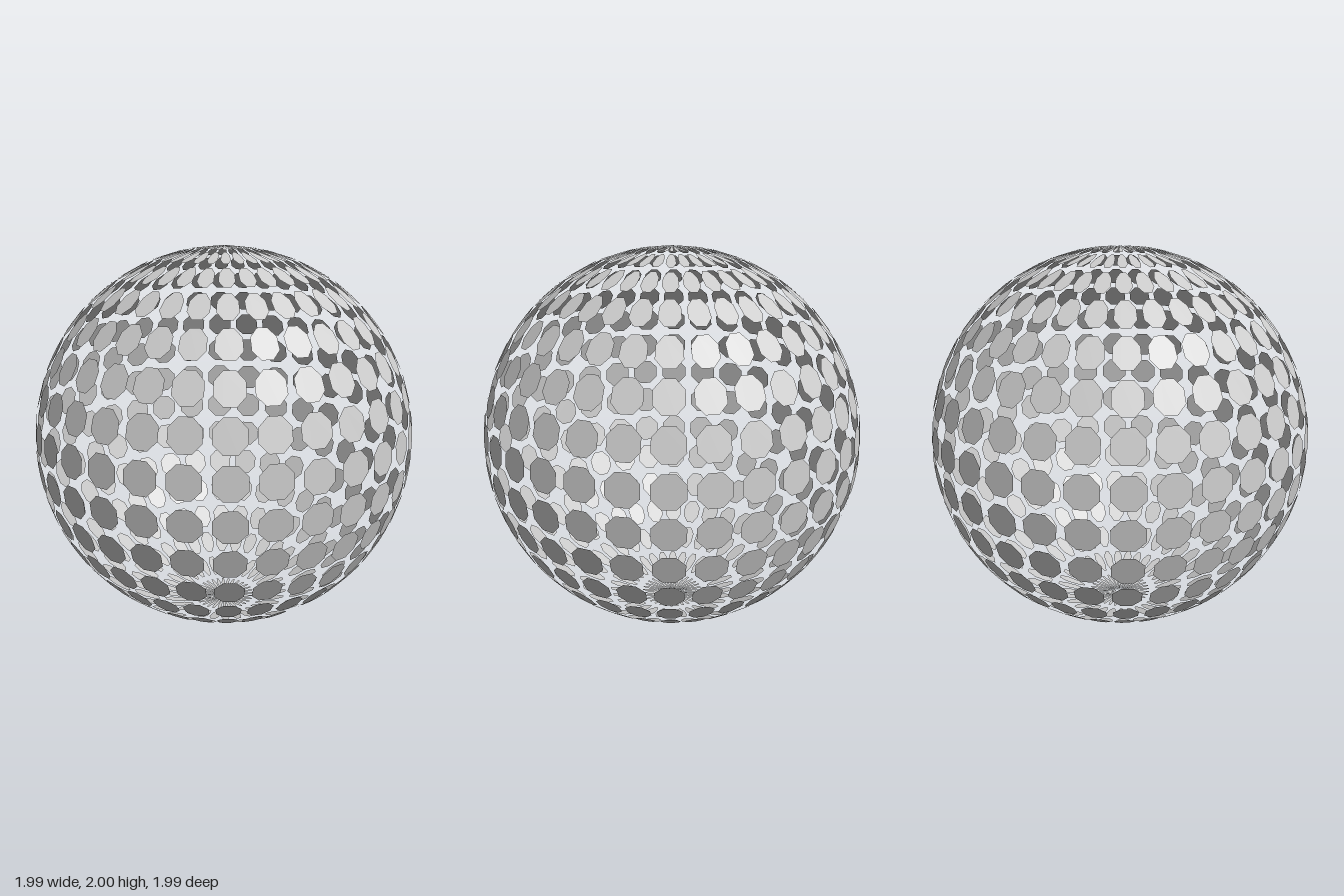
import * as THREE from 'three';

const ROWS = 16, COLS = 32;
const INSET = 0.395;                        // half size of a tile within its cell
const FLAT = INSET * Math.tan(Math.PI / 8); // half length of an octagon side
const RADIUS = 1.002;

// Corner of the sphere's latitude / longitude grid
function gridPoint(row, col) {
  return new THREE.Vector3().setFromSphericalCoords(
    RADIUS, Math.PI * row / ROWS, 2 * Math.PI * col / COLS);
}

// Octagon outline in cell coordinates, counter-clockwise from outside
const octagon = [
  [FLAT, INSET], [INSET, FLAT], [INSET, -FLAT], [FLAT, -INSET],
  [-FLAT, -INSET], [-INSET, -FLAT], [-INSET, FLAT], [-FLAT, INSET],
].map(([u, v]) => [u + 0.5, v + 0.5]).reverse();

// One ring of flat octagons, each fitted into its tapering flat cell
function ringGeometry(row) {
  const positions = [], indices = [];
  for (let col = 0; col < COLS; col++) {
    const topA = gridPoint(row, col), topB = gridPoint(row, col + 1);
    const lowA = gridPoint(row + 1, col), lowB = gridPoint(row + 1, col + 1);
    const first = positions.length / 3;
    for (const [u, v] of octagon) {
      const p = lowA.clone().lerp(lowB, u).lerp(topA.clone().lerp(topB, u), v);
      positions.push(p.x, p.y, p.z);
    }
    for (let i = 1; i < 7; i++) indices.push(first, first + i, first + i + 1);
  }
  const geometry = new THREE.BufferGeometry();
  geometry.setAttribute('position', new THREE.Float32BufferAttribute(positions, 3));
  geometry.setIndex(indices);
  geometry.computeVertexNormals();
  return geometry;
}

export function createModel() {
  const model = new THREE.Group();
  model.name = 'tiledSphere';
  const material = new THREE.MeshStandardMaterial({
    color: 0xcccccc, flatShading: true, side: THREE.DoubleSide,
  });
  // Rings of tiles from the top pole to the bottom pole
  for (let row = 0; row < ROWS; row++) {
    const ring = new THREE.Mesh(ringGeometry(row), material);
    ring.name = `tileRing${row + 1}`;
    ring.position.y = 1;
    model.add(ring);
  }
  return model;
}
